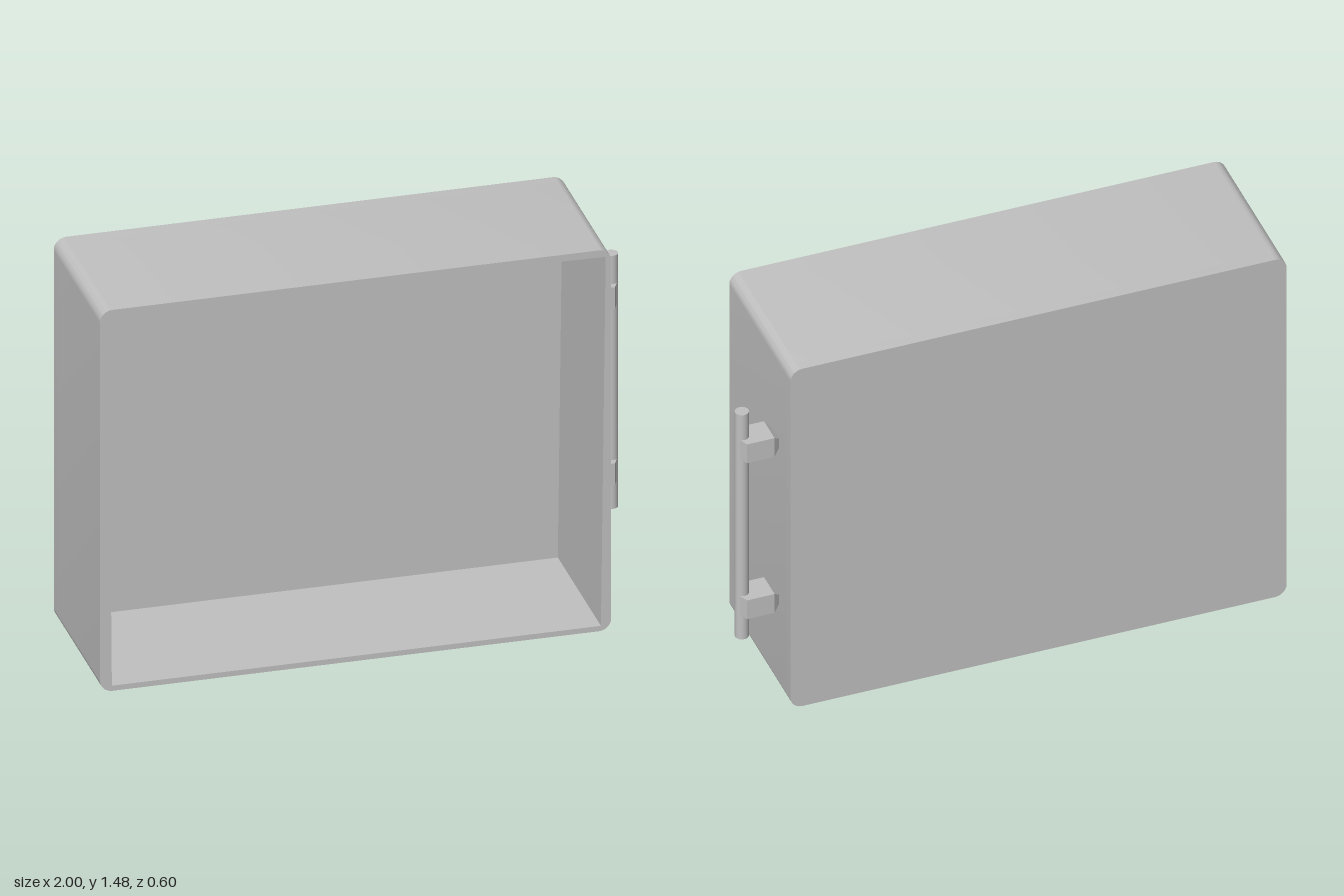
import * as THREE from 'three';
import { toCreasedNormals } from 'three/addons/utils/BufferGeometryUtils.js';

const X0 = -1, X1 = 0.845, TOP = 1.475, R = 0.045;
const BACK = -0.3, FRONT = 0.3, WALL = 0.04;

// Rounded outline of the cabinet
function outline() {
  const s = new THREE.Shape();
  s.moveTo(X0 + R, 0);
  s.lineTo(X1 - R, 0);
  s.absarc(X1 - R, R, R, -Math.PI / 2, 0);
  s.lineTo(X1, TOP - R);
  s.absarc(X1 - R, TOP - R, R, 0, Math.PI / 2);
  s.lineTo(X0 + R, TOP);
  s.absarc(X0 + R, TOP - R, R, Math.PI / 2, Math.PI);
  s.lineTo(X0, R);
  s.absarc(X0 + R, R, R, Math.PI, Math.PI * 1.5);
  return s;
}

function extrude(shape, depth) {
  return new THREE.ExtrudeGeometry(shape, { depth, bevelEnabled: false, curveSegments: 8 });
}

export function createModel() {
  const model = new THREE.Group();
  model.name = 'cabinet';
  const grey = new THREE.MeshStandardMaterial({ color: 0xc0c0c0 });
  grey.name = 'grey';

  const add = (name, geometry, parent = model) => {
    const mesh = new THREE.Mesh(geometry, grey);
    mesh.name = name;
    parent.add(mesh);
    return mesh;
  };

  // Four walls around a slightly uneven opening
  const frame = outline();
  frame.holes.push(new THREE.Path([
    [-0.957, 0.02], [-0.963, 0.75], [-0.983, 1.43],
    [-0.04, 1.458], [0.825, 1.447], [0.808, 0.02],
  ].map(([x, y]) => new THREE.Vector2(x, y))));
  const walls = extrude(frame, FRONT - BACK - WALL);
  // The ceiling and one side lean inwards towards the back
  const p = walls.attributes.position;
  for (let i = 0; i < p.count; i++) {
    if (p.getZ(i) > 0.01) continue;
    if (Math.abs(p.getX(i) + 0.04) < 0.001) p.setY(i, 1.432);
    if (Math.abs(p.getX(i) + 0.963) < 0.001) p.setX(i, -0.955);
  }
  walls.translate(0, 0, BACK + WALL);
  add('walls', toCreasedNormals(walls, 0.5));

  // Closed back
  const back = extrude(outline(), WALL);
  back.translate(0, 0, BACK);
  add('backPanel', toCreasedNormals(back, 0.5));

  // Bar handle on the side
  const handle = new THREE.Group();
  handle.name = 'handle';
  handle.position.z = -0.152;
  model.add(handle);
  const bar = add('handleBar', new THREE.CylinderGeometry(0.025, 0.025, 0.98, 24), handle);
  bar.position.set(0.97, 0.74, 0);

  // Bracket block with chamfered outer corners, seen from above
  const block = new THREE.Shape([
    [0.868, -0.052], [0.97, -0.052], [0.987, -0.015],
    [0.987, 0.015], [0.97, 0.052], [0.868, 0.052],
  ].map(([x, y]) => new THREE.Vector2(x, y)));
  for (const y of [0.398, 1.08]) {
    const bracket = new THREE.Group();
    bracket.name = 'bracket';
    bracket.position.y = y;
    handle.add(bracket);
    const body = extrude(block, 0.082);
    body.rotateX(-Math.PI / 2);
    body.translate(0, -0.041, 0);
    add('bracketBlock', body, bracket);

    // Tapered foot meeting the wall
    const foot = new THREE.BoxGeometry(0.028, 0.082, 0.104);
    const f = foot.attributes.position;
    for (let i = 0; i < f.count; i++) {
      if (f.getX(i) < 0) f.setXYZ(i, f.getX(i), f.getY(i) * 0.4, f.getZ(i) * 0.6);
    }
    foot.computeVertexNormals();
    add('bracketFoot', foot, bracket).position.x = 0.854;
  }
  return model;
}
